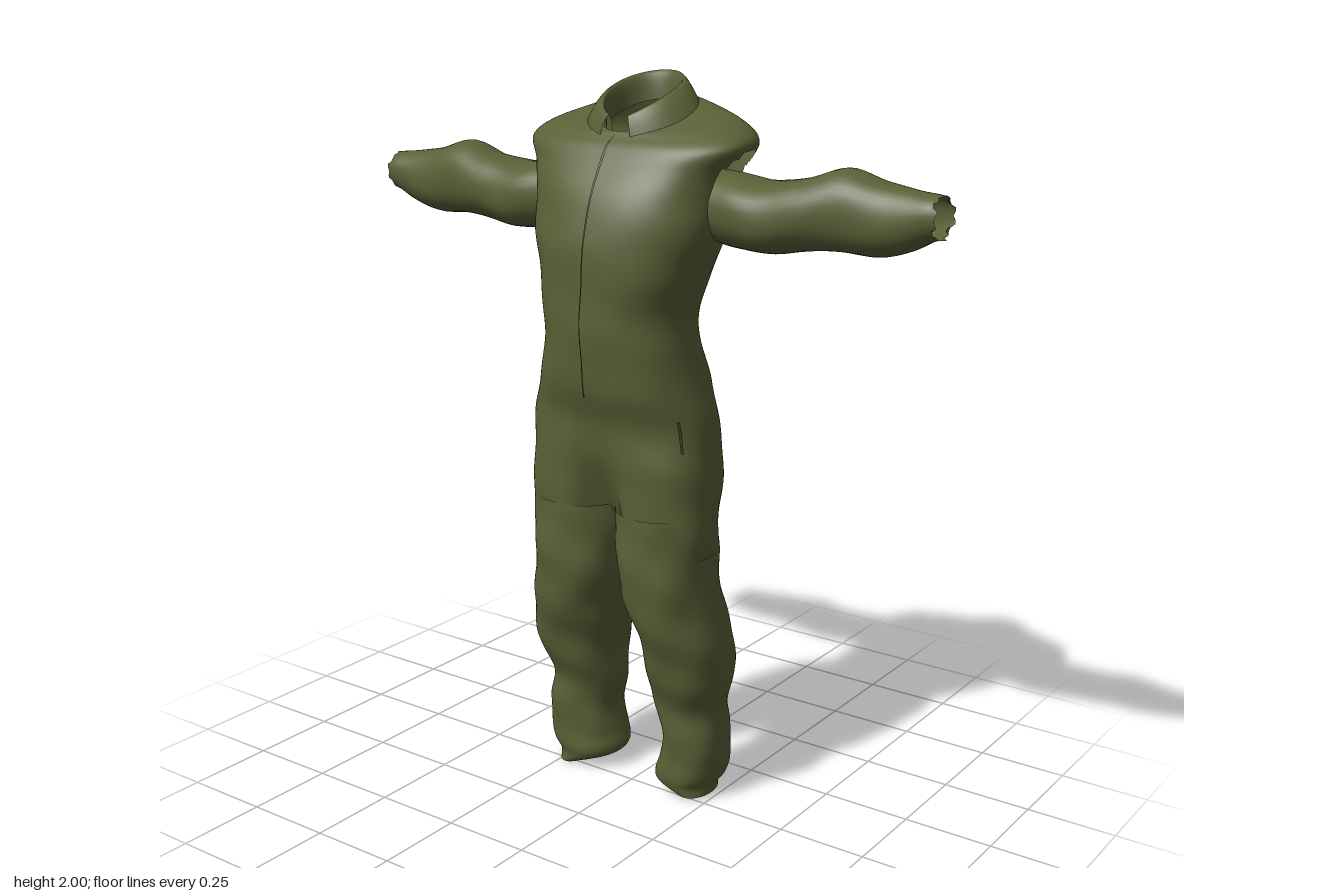
import * as THREE from 'three';

const olive = new THREE.MeshStandardMaterial({ name: 'olive cloth', color: 0x596036, side: THREE.DoubleSide });
const dark = new THREE.MeshStandardMaterial({ name: 'dark olive trim', color: 0x3c4224, side: THREE.DoubleSide });

// Smooth interpolation through a table of cross-sections, t in 0..1
function sample(rows, t) {
  const f = Math.min(Math.max(t, 0), 1) * (rows.length - 1);
  const i = Math.min(Math.floor(f), rows.length - 2), u = f - i;
  const row = k => rows[Math.min(Math.max(k, 0), rows.length - 1)];
  const [p, q, r, s] = [row(i - 1), row(i), row(i + 1), row(i + 2)];
  return q.map((v, c) => {
    const m0 = (r[c] - p[c]) / 2, m1 = (s[c] - q[c]) / 2, d = r[c] - v;
    return v + u * (m0 + u * (3 * d - 2 * m0 - m1 + u * (m0 + m1 - 2 * d)));
  });
}

// Grid surface from fn(u, v) -> Vector3; u runs around, v along
function grid(nu, nv, fn, { closed = false, flip = false, skip } = {}) {
  const pos = [], idx = [], cols = closed ? nu : nu + 1, pts = [];
  for (let i = 0; i <= nv; i++) {
    for (let j = 0; j < cols; j++) {
      const p = fn(j / nu, i / nv);
      pts.push(p);
      pos.push(p.x, p.y, p.z);
    }
  }
  for (let i = 0; i < nv; i++) {
    for (let j = 0; j < nu; j++) {
      const k = (j + 1) % cols;
      const a = i * cols + j, b = i * cols + k, c = a + cols, d = b + cols;
      if (skip && skip(pts[a].clone().add(pts[d]).multiplyScalar(0.5))) continue;
      if (flip) idx.push(a, c, b, b, c, d);
      else idx.push(a, b, c, b, d, c);
    }
  }
  const g = new THREE.BufferGeometry();
  g.setAttribute('position', new THREE.Float32BufferAttribute(pos, 3));
  g.setIndex(idx);
  g.computeVertexNormals();
  return g;
}

const spow = (v, e) => Math.sign(v) * Math.abs(v) ** e;

// Point on a lofted tube; row = [s, a0, a1, b0, b1, roundness, pinch, tilt]
function tubePoint(rows, u, t, folds = 0, lift = 0) {
  const [s, a0, a1, b0, b1, n = 2.2, pinch = 0, tilt = 0] = sample(rows, t);
  const th = u * Math.PI * 2;
  const w = 1 + folds * (Math.sin(2 * th + s * 38) * 0.6 + Math.sin(5 * th - s * 23 + 1) * 0.4);
  const a = (a0 + a1) / 2 + ((a1 - a0) / 2 * w + lift) * spow(Math.sin(th), 2 / n);
  const valley = 1 - pinch * Math.exp(-((a / 0.06) ** 2));
  const off = ((b1 - b0) / 2 * w * valley + lift) * spow(Math.cos(th), 2 / n);
  return new THREE.Vector3(a, s - tilt * off, (b0 + b1) / 2 + off);
}

// Torso from the crotch up to the neck
const torsoRows = [
  [0.74, -0.284, 0.262, -0.13, 0.16, 2.7, 0.9, 0],
  [0.85, -0.286, 0.265, -0.135, 0.165, 2.7, 0.6, 0],
  [0.98, -0.287, 0.265, -0.16, 0.17, 2.6, 0.2, 0],
  [1.10, -0.283, 0.25, -0.17, 0.172, 2.4, 0.03, 0],
  [1.20, -0.25, 0.232, -0.165, 0.198, 2.3, 0, 0],
  [1.30, -0.222, 0.21, -0.145, 0.212, 2.2, 0, 0],
  [1.40, -0.22, 0.205, -0.14, 0.215, 2.2, 0, 0],
  [1.50, -0.238, 0.238, -0.155, 0.215, 2.2, 0, 0],
  [1.60, -0.258, 0.265, -0.18, 0.208, 2.3, 0, 0],
  [1.70, -0.275, 0.28, -0.205, 0.175, 2.4, 0, 0],
  [1.77, -0.297, 0.297, -0.21, 0.14, 2.5, 0, 0.02],
  [1.83, -0.335, 0.335, -0.205, 0.105, 2.5, 0, 0.08],
  [1.87, -0.295, 0.295, -0.185, 0.075, 2.3, 0, 0.2],
  [1.895, -0.2, 0.2, -0.17, 0.065, 2.2, 0, 0.35],
  [1.905, -0.11, 0.11, -0.155, 0.06, 2, 0, 0.45],
];

// Trouser legs, hem first
const rightLegRows = [
  [0.005, -0.27, -0.19, -0.13, 0.02],
  [0.04, -0.275, -0.10, -0.145, 0.03],
  [0.07, -0.295, -0.075, -0.16, 0.038],
  [0.12, -0.308, -0.085, -0.165, 0.04],
  [0.20, -0.31, -0.095, -0.16, 0.045],
  [0.28, -0.285, -0.075, -0.15, 0.05],
  [0.36, -0.308, -0.068, -0.16, 0.08],
  [0.44, -0.325, -0.06, -0.16, 0.105],
  [0.52, -0.312, -0.04, -0.155, 0.13],
  [0.62, -0.285, -0.018, -0.14, 0.155],
  [0.74, -0.28, -0.002, -0.13, 0.162],
  [0.86, -0.275, 0.005, -0.125, 0.158],
];
const leftLegRows = [
  [0.015, 0.14, 0.24, -0.13, 0.02],
  [0.04, 0.075, 0.245, -0.145, 0.03],
  [0.07, 0.07, 0.262, -0.16, 0.038],
  [0.12, 0.085, 0.27, -0.165, 0.04],
  [0.20, 0.092, 0.272, -0.16, 0.045],
  [0.28, 0.07, 0.268, -0.15, 0.05],
  [0.36, 0.06, 0.29, -0.16, 0.08],
  [0.44, 0.058, 0.293, -0.16, 0.105],
  [0.52, 0.045, 0.285, -0.155, 0.13],
  [0.62, 0.018, 0.265, -0.14, 0.155],
  [0.74, 0.002, 0.26, -0.13, 0.162],
  [0.86, -0.005, 0.255, -0.125, 0.158],
];

// Sleeve from the armhole out to the cuff: [x, y0, y1, z0, z1]
const sleeveRows = [
  [0.24, 1.585, 1.765, -0.165, 0.045],
  [0.32, 1.57, 1.755, -0.175, 0.058],
  [0.40, 1.565, 1.748, -0.165, 0.06],
  [0.50, 1.58, 1.762, -0.152, 0.05],
  [0.60, 1.588, 1.79, -0.153, 0.035],
  [0.70, 1.582, 1.768, -0.142, 0.022],
  [0.79, 1.608, 1.752, -0.122, 0.015],
  [0.84, 1.632, 1.748, -0.11, 0.01],
  [0.865, 1.64, 1.745, -0.102, 0.005],
];

export function createModel() {
  const group = new THREE.Group();
  const add = (name, geo, mat = olive) => {
    const m = new THREE.Mesh(geo, mat);
    m.name = name;
    group.add(m);
  };

  // Torso with open armholes behind the sleeves
  const armhole = p => Math.abs(p.x) > 0.22 && ((p.y - 1.7) / 0.115) ** 2 + ((p.z + 0.06) / 0.1) ** 2 < 1;
  add('torso', grid(72, 90, (u, t) => tubePoint(torsoRows, u, t, 0.012), { closed: true, skip: armhole }));

  add('rightLeg', grid(40, 70, (u, t) => tubePoint(rightLegRows, u, t, 0.03), { closed: true }));
  add('leftLeg', grid(40, 70, (u, t) => tubePoint(leftLegRows, 1 - u, t, 0.03), { closed: true, flip: true }));

  // Sleeves with a slightly ragged cuff edge
  for (const side of [1, -1]) {
    const fn = (u, t) => {
      const p = tubePoint(sleeveRows, u, t, 0.02);
      const rag = t > 0.97 ? 0.012 * Math.sin(u * 44) * Math.sin(u * 19) : 0;
      return new THREE.Vector3(side * (p.y + rag), p.x, p.z);
    };
    add(side > 0 ? 'leftSleeve' : 'rightSleeve', grid(36, 50, fn, { closed: true, flip: side > 0 }));
  }

  // Folded collar: inner stand, fold line, falling outer leaf, open at the front
  add('collar', grid(48, 10, (u, v) => {
    const a = 0.3 + u * (Math.PI * 2 - 0.6), f = (1 - Math.cos(a)) / 2;
    const rows = [
      [0.095, 0.1, 1.835 + 0.09 * f],
      [0.092, 0.105, 1.87 + 0.1 * f ** 0.7],
      [0.1, 0.115, 1.885 + 0.115 * f ** 0.6],
      [0.13, 0.124, 1.87 + 0.105 * f ** 0.7],
      [0.158, 0.13, 1.842 + 0.1 * f],
    ];
    const [rx, rz, y] = sample(rows, v);
    return new THREE.Vector3(rx * Math.sin(a), y, -0.05 + rz * Math.cos(a));
  }, { flip: true }));

  // Thin strips lying on the torso surface
  const strip = (name, u0, u1, t0, t1, mat) => add(name, grid(4, 50,
    (u, v) => tubePoint(torsoRows, u0 + u * (u1 - u0), t0 + v * (t1 - t0), 0.012, 0.004), {}), mat);
  strip('zip', -0.0012, 0.0002, 0.27, 0.9, dark);
  strip('hipPocketWelt', 0.165, 0.172, 0.18, 0.235, dark);

  return group;
}
